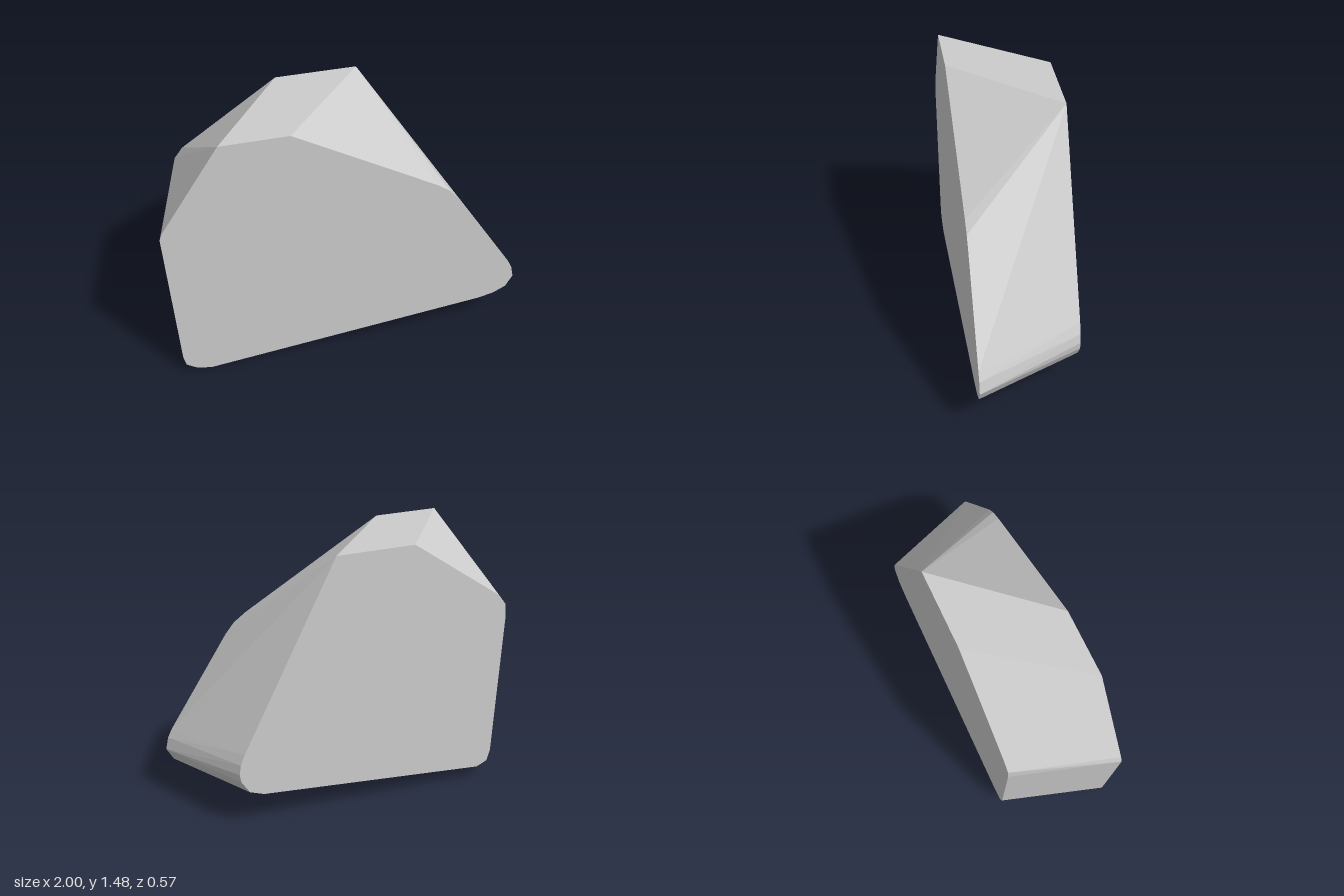
import * as THREE from 'three';
import { ConvexGeometry } from 'three/addons/geometries/ConvexGeometry.js';

// Outlines of the two flat faces, clockwise from the top left corner
const frontOutline = [
  [-0.67, 1.48], [-0.3, 1.48], [0.5, 1.025], [0.57, 0.975], [0.62, 0.915],
  [0.96, 0.4], [0.985, 0.35], [1, 0.28], [0.96, 0.21], [0.89, 0.175], [0.8, 0.155],
  [-0.79, 0], [-0.87, 0.015], [-0.93, 0.055], [-0.945, 0.11], [-1, 0.96], [-0.985, 1.0],
];
const backOutline = [
  [-0.25, 1.48], [0.2, 1.48], [0.73, 0.46], [0.755, 0.4], [0.763, 0.345], [0.755, 0.3],
  [0.71, 0.23], [0.63, 0.2], [-0.69, 0.068], [-0.755, 0.095], [-0.775, 0.16],
  [-0.83, 0.99], [-0.825, 1.06], [-0.78, 1.12],
];

export function createModel() {
  const group = new THREE.Group();
  const depth = 0.285;

  // Faceted skin stretched between the front and the back face
  const points = [
    ...frontOutline.map(([x, y]) => new THREE.Vector3(x, y, depth)),
    ...backOutline.map(([x, y]) => new THREE.Vector3(x, y, -depth)),
  ];
  const material = new THREE.MeshStandardMaterial({ color: 0xcccccc, flatShading: true });
  const block = new THREE.Mesh(new ConvexGeometry(points), material);
  block.name = 'facetedBlock';
  group.add(block);
  return group;
}
